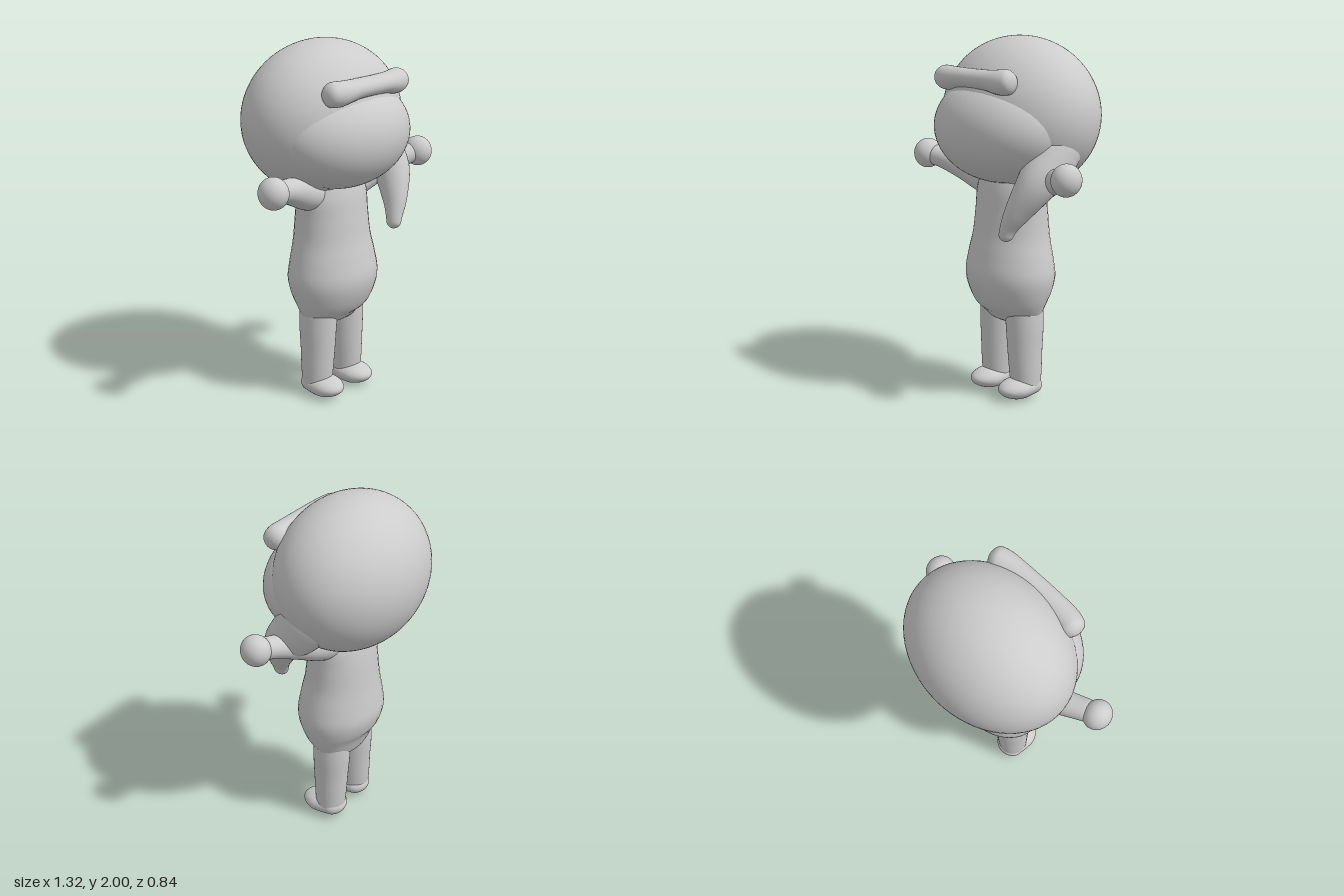
import * as THREE from 'three';

const clay = new THREE.MeshStandardMaterial({ color: 0xcccccc });
clay.name = 'light grey clay';

function ellipsoid(name, [x, y, z], [rx, ry, rz]) {
  const mesh = new THREE.Mesh(new THREE.SphereGeometry(1, 64, 40).scale(rx, ry, rz), clay);
  mesh.position.set(x, y, z);
  mesh.name = name;
  return mesh;
}

// Smooth limb through rows [x, y, z, radiusU, radiusV]; both ends are rounded over the share `cap`.
// radiusU lies along `ref`, radiusV across it.
function limb(name, rows, ref, cap = 0.15, n = 48, sides = 36) {
  const path = new THREE.CatmullRomCurve3(rows.map(r => new THREE.Vector3(r[0], r[1], r[2])), false, 'catmullrom');
  const radii = new THREE.CatmullRomCurve3(rows.map(r => new THREE.Vector3(r[3], r[4], 0)), false, 'catmullrom');
  const pos = [], idx = [];
  for (let i = 0; i <= n; i++) {
    const s = (1 - Math.cos(Math.PI * i / n)) / 2;
    const p = path.getPoint(s), t = path.getTangent(s), r = radii.getPoint(s);
    const u = ref.clone().addScaledVector(t, -ref.dot(t)).normalize();
    const v = t.clone().cross(u);
    const e = Math.min(1, Math.min(s, 1 - s) / cap);
    const round = Math.sqrt(Math.max(0, 1 - (1 - e) ** 2));
    for (let j = 0; j < sides; j++) {
      const a = 2 * Math.PI * j / sides;
      const q = p.clone()
        .addScaledVector(u, Math.cos(a) * r.x * round)
        .addScaledVector(v, Math.sin(a) * r.y * round);
      pos.push(q.x, q.y, q.z);
      if (i < n) {
        const k = (j + 1) % sides, b = i * sides, c = b + sides;
        idx.push(b + j, b + k, c + j, b + k, c + k, c + j);
      }
    }
  }
  const g = new THREE.BufferGeometry();
  g.setAttribute('position', new THREE.Float32BufferAttribute(pos, 3));
  g.setIndex(idx);
  g.computeVertexNormals();
  const mesh = new THREE.Mesh(g, clay);
  mesh.name = name;
  return mesh;
}

export function createModel() {
  const model = new THREE.Group();
  model.name = 'figure';
  const X = new THREE.Vector3(1, 0, 0), Y = new THREE.Vector3(0, 1, 0);

  // Head: hair shell with the face bulging out of its front
  const head = new THREE.Group();
  head.name = 'head';
  head.add(
    ellipsoid('hair', [0, 1.58, -0.04], [0.49, 0.42, 0.385]),
    ellipsoid('face', [0, 1.51, 0.1], [0.43, 0.295, 0.32]),
    // Roll of fringe, thicker at both ends
    limb('fringe', [
      [-0.31, 1.78, 0.25, 0.06, 0.06], [-0.23, 1.775, 0.275, 0.066, 0.07], [-0.1, 1.785, 0.285, 0.053, 0.065],
      [0.1, 1.785, 0.285, 0.053, 0.065], [0.22, 1.78, 0.275, 0.066, 0.07], [0.295, 1.79, 0.25, 0.06, 0.06]], Y, 0.12),
    // Loose lock falling over the left shoulder
    limb('sideLock', [
      [0.33, 1.5, -0.04, 0.12, 0.16], [0.355, 1.36, 0.06, 0.11, 0.14], [0.35, 1.25, 0.16, 0.1, 0.11],
      [0.295, 1.11, 0.235, 0.065, 0.075], [0.255, 1.02, 0.265, 0.042, 0.05], [0.235, 0.95, 0.275, 0.032, 0.038]], X, 0.1));
  model.add(head);

  // Pear-shaped torso
  model.add(limb('torso', [
    [0, 0.41, 0.025, 0.17, 0.085], [0, 0.49, 0.025, 0.215, 0.135], [0, 0.58, 0.035, 0.255, 0.195],
    [0, 0.69, 0.038, 0.279, 0.227], [0, 0.8, 0.035, 0.264, 0.215], [0, 0.92, 0.03, 0.238, 0.194],
    [0, 1.06, 0.028, 0.226, 0.178], [0, 1.18, 0.03, 0.218, 0.16], [0, 1.32, 0.03, 0.16, 0.12]], X, 0.07));

  for (const [side, s] of [['left', 1], ['right', -1]]) {
    // Arms reaching outward and slightly forward, with ball hands
    const arm = new THREE.Group();
    arm.name = side + 'Arm';
    arm.add(
      limb(side + 'Sleeve', [
        [s * 0.1, 1.18, 0.02, 0.1, 0.11], [s * 0.22, 1.208, 0.04, 0.092, 0.09], [s * 0.34, 1.248, 0.075, 0.077, 0.075],
        [s * 0.46, 1.285, 0.118, 0.063, 0.066], [s * 0.56, 1.31, 0.155, 0.058, 0.06]], Y, 0.08),
      ellipsoid(side + 'Hand', [s * 0.585, 1.31, 0.163], [0.077, 0.085, 0.083]));
    // Straight legs with rounded feet
    const leg = new THREE.Group();
    leg.name = side + 'Leg';
    leg.add(
      limb(side + 'Shin', [
        [s * 0.125, 0.03, 0.03, 0.082, 0.08], [s * 0.122, 0.14, 0.03, 0.088, 0.092], [s * 0.117, 0.28, 0.03, 0.095, 0.1],
        [s * 0.113, 0.42, 0.028, 0.102, 0.108], [s * 0.105, 0.58, 0.03, 0.105, 0.11]], X, 0.08),
      limb(side + 'Foot', [
        [s * 0.118, 0.065, -0.062, 0.055, 0.08], [s * 0.12, 0.065, 0.01, 0.06, 0.088],
        [s * 0.122, 0.06, 0.09, 0.06, 0.093], [s * 0.124, 0.062, 0.207, 0.05, 0.088]], Y, 0.3));
    model.add(arm, leg);
  }
  return model;
}
